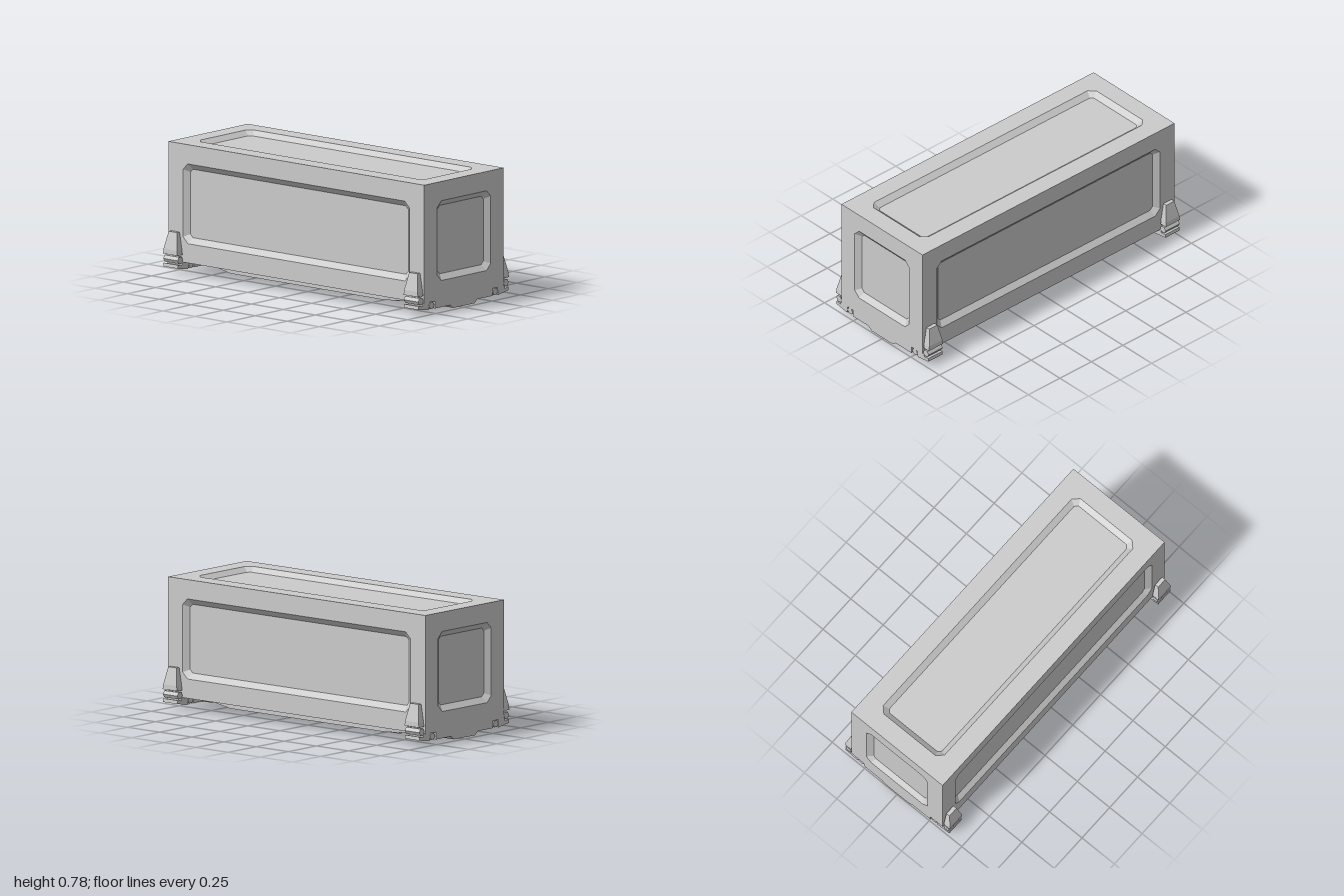
import * as THREE from 'three';

const MAT = new THREE.MeshStandardMaterial({ color: 0xcccccc, flatShading: true });
const BASE = 0.075, TOP = 0.782, HALF_Z = 0.352;

function mesh(geometry, name) {
  const m = new THREE.Mesh(geometry, MAT);
  m.name = name;
  return m;
}

// Rectangle outline with cut corners, counter-clockwise
function cutRect(w, h, c) {
  const x = w / 2, y = h / 2;
  return [[x - c, -y], [x, -y + c], [x, y - c], [x - c, y],
    [-x + c, y], [-x, y - c], [-x, -y + c], [-x + c, -y]].map(p => new THREE.Vector2(...p));
}

// Wall facing +z with a bevelled, sunken panel
function recessedWall(w, h, name) {
  const g = new THREE.Group();
  g.name = name;
  const margin = 0.115, bevel = 0.034, depth = 0.028;
  const pw = w - 2 * margin, ph = h - 2 * margin;
  const outer = cutRect(pw, ph, 0.037);
  const inner = cutRect(pw - 2 * bevel, ph - 2 * bevel, 0.019);

  const frame = new THREE.Shape(cutRect(w, h, 0));
  frame.holes.push(new THREE.Path(outer));
  g.add(mesh(new THREE.ShapeGeometry(frame), 'wallFrame'));

  const pos = [];
  for (let i = 0; i < 8; i++) {
    const j = (i + 1) % 8;
    const a = [outer[i].x, outer[i].y, 0], b = [outer[j].x, outer[j].y, 0];
    const c = [inner[j].x, inner[j].y, -depth], d = [inner[i].x, inner[i].y, -depth];
    pos.push(...a, ...b, ...c, ...a, ...c, ...d);
  }
  const ring = new THREE.BufferGeometry();
  ring.setAttribute('position', new THREE.Float32BufferAttribute(pos, 3));
  ring.computeVertexNormals();
  g.add(mesh(ring, 'panelBevel'));

  const floor = mesh(new THREE.ShapeGeometry(new THREE.Shape(inner)), 'panelFloor');
  floor.position.z = -depth;
  g.add(floor);
  return g;
}

// Extrude a (z, y) profile along x, centred on x = 0
function alongX(points, width) {
  const shape = new THREE.Shape(points.map(p => new THREE.Vector2(...p)));
  const geo = new THREE.ExtrudeGeometry(shape, { depth: width, bevelEnabled: false });
  return geo.translate(0, 0, -width / 2).rotateY(-Math.PI / 2);
}

// Hexagonal hinge pin lying along x
function hexPin(z, y, r, width) {
  const pts = [];
  for (let i = 0; i < 6; i++) {
    const a = i * Math.PI / 3;
    pts.push([z + r * Math.cos(a), y + r * Math.sin(a)]);
  }
  return mesh(alongX(pts, width), 'hingePin');
}

// Corner latch: pins, lower arm and tapered clamp, on the +z side
function cornerLatch() {
  const g = new THREE.Group();
  g.name = 'cornerLatch';
  const w = 0.112;
  g.add(hexPin(0.282, 0.052, 0.022, w), hexPin(0.378, 0.09, 0.023, w));
  g.add(mesh(alongX([[0.302, 0.073], [0.308, 0.028], [0.401, 0.043], [0.399, 0.064],
    [0.365, 0.058], [0.36, 0.079]], w), 'latchArm'));

  // Levels from bottom to top: height, half width, inner z, outer z
  const levels = [[0.12, 0.056, 0.359, 0.404], [0.15, 0.052, 0.358, 0.403], [0.253, 0.032, 0.357, 0.381]];
  const geo = new THREE.BoxGeometry(2, 2, 2, 1, 2, 1);
  const p = geo.attributes.position;
  for (let i = 0; i < p.count; i++) {
    const [y, half, zi, zo] = levels[Math.round(p.getY(i)) + 1];
    p.setXYZ(i, Math.sign(p.getX(i)) * half, y, p.getZ(i) > 0 ? zo : zi);
  }
  geo.computeVertexNormals();
  g.add(mesh(geo, 'latchClamp'));
  return g;
}

export function createModel() {
  const model = new THREE.Group();
  model.name = 'cargoContainer';
  const h = TOP - BASE, midY = (TOP + BASE) / 2, d = HALF_Z * 2;

  // Container walls
  const body = new THREE.Group();
  body.name = 'containerBody';
  for (const s of [1, -1]) {
    const long = recessedWall(2, h, s > 0 ? 'frontWall' : 'backWall');
    long.position.set(0, midY, s * HALF_Z);
    long.rotation.y = s > 0 ? 0 : Math.PI;
    const end = recessedWall(d, h, s > 0 ? 'leftWall' : 'rightWall');
    end.position.set(s, midY, 0);
    end.rotation.y = s * Math.PI / 2;
    body.add(long, end);
  }
  const roof = recessedWall(2, d, 'roof');
  roof.position.y = TOP;
  roof.rotation.x = -Math.PI / 2;
  const bottom = mesh(new THREE.PlaneGeometry(2, d), 'bottom');
  bottom.position.y = BASE;
  bottom.rotation.x = Math.PI / 2;
  body.add(roof, bottom);
  model.add(body);

  // Underside plate, narrowing towards the ends
  const plate = new THREE.Shape([[0.89, -0.12], [0.89, 0.12], [0.6, 0.255], [-0.6, 0.255],
    [-0.89, 0.12], [-0.89, -0.12], [-0.6, -0.255], [0.6, -0.255]].map(p => new THREE.Vector2(...p)));
  const plateGeo = new THREE.ExtrudeGeometry(plate, { depth: 0.045, bevelEnabled: false });
  const basePlate = mesh(plateGeo.rotateX(Math.PI / 2), 'basePlate');
  basePlate.position.y = BASE;
  model.add(basePlate);

  for (const s of [1, -1]) {
    // Cross bar with a lowered middle
    const bar = mesh(alongX([[-0.255, 0.075], [-0.255, 0.031], [-0.12, 0.031], [-0.093, 0.01],
      [0.093, 0.01], [0.12, 0.031], [0.255, 0.031], [0.255, 0.075]], 0.115), 'crossBar');
    bar.position.x = s * 0.9415;
    // Foot pad
    const pad = mesh(new THREE.BoxGeometry(0.318, 0.032, 0.232), 'footPad');
    pad.position.set(s * 0.435, 0.016, 0);
    model.add(bar, pad);
    // Latches at both corners of this end
    for (const t of [0, Math.PI]) {
      const latch = cornerLatch();
      latch.position.x = s * 0.94;
      latch.rotation.y = t;
      model.add(latch);
    }
  }
  return model;
}
